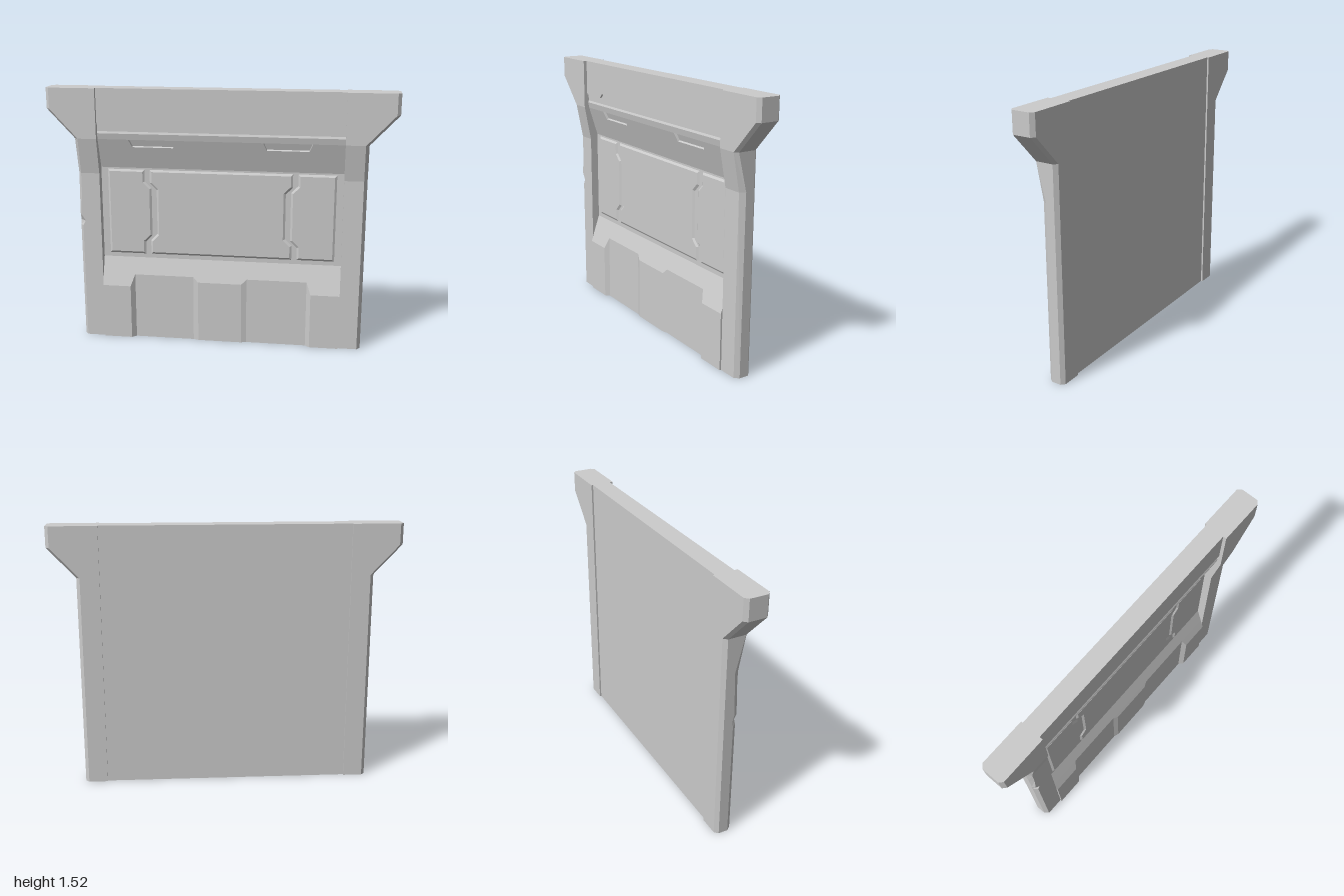
import * as THREE from 'three';
import { ConvexGeometry } from 'three/addons/geometries/ConvexGeometry.js';

const material = new THREE.MeshStandardMaterial({ color: 0xcccccc, flatShading: true });
const HALF = 0.71; // half width of the panel between the posts

const toShape = (pts) => new THREE.Shape(pts.map(([x, y]) => new THREE.Vector2(x, y)));
const mirrorX = (pts) => pts.map(([x, y]) => [-x, y]).reverse();

function add(group, name, geometry) {
  const mesh = new THREE.Mesh(geometry, material);
  mesh.name = name;
  group.add(mesh);
  return mesh;
}

// Post lofted through six-sided sections; rows are [y, outer x, front z, chamfer depth, chamfer width]
function postGeometry(rows, side) {
  const rings = rows.map(([y, xo, zf, cz, cx]) => [
    [HALF, -0.07], [xo - 0.02, -0.07], [xo, -0.05], [xo, zf - cz], [xo - cx, zf], [HALF, zf],
  ].map(([x, z]) => [x * side, y, z]));
  const pos = [];
  const tri = (a, b, c) => pos.push(...a, ...(side > 0 ? b : c), ...(side > 0 ? c : b));
  for (let i = 0; i < rings.length - 1; i++) {
    for (let j = 0; j < 6; j++) {
      const k = (j + 1) % 6;
      tri(rings[i][j], rings[i + 1][k], rings[i][k]);
      tri(rings[i][j], rings[i + 1][j], rings[i + 1][k]);
    }
  }
  const top = rings[rings.length - 1], bottom = rings[0];
  for (let j = 1; j < 5; j++) {
    tri(bottom[0], bottom[j], bottom[j + 1]);
    tri(top[0], top[j + 1], top[j]);
  }
  const g = new THREE.BufferGeometry();
  g.setAttribute('position', new THREE.Float32BufferAttribute(pos, 3));
  g.computeVertexNormals();
  return g;
}

// Raised block standing on the floor, from a base rectangle to a smaller front rectangle
function bossGeometry([bx0, bx1, by, bz], [fx0, fx1, fy, fz]) {
  const pts = [];
  for (const [x0, x1, y, z] of [[bx0, bx1, by, bz - 0.02], [bx0, bx1, by, bz], [fx0, fx1, fy, fz]]) {
    for (const x of [x0, x1]) pts.push(new THREE.Vector3(x, 0, z), new THREE.Vector3(x, y, z));
  }
  return new ConvexGeometry(pts);
}

// Thin plate with bevelled edges
function plateGeometry(pts, z) {
  return new THREE.ExtrudeGeometry(toShape(pts), {
    depth: 0.002, bevelEnabled: true, bevelSegments: 1,
    bevelSize: 0.012, bevelThickness: 0.008, bevelOffset: -0.012,
  }).translate(0, 0, z);
}

export function createModel() {
  const group = new THREE.Group();
  group.name = 'wallPanel';

  // Main panel, a [z, y] profile swept across the width
  const profile = [
    [-0.06, 0], [0.017, 0], [0.017, 0.4], [-0.017, 0.5], [-0.017, 1.1], [0.022, 1.225],
    [0.038, 1.225], [0.045, 1.26], [0.04, 1.272], [0.04, 1.52], [-0.06, 1.52],
  ];
  add(group, 'panelCore', new THREE.ExtrudeGeometry(toShape(profile), { depth: 2 * HALF, bevelEnabled: false })
    .translate(0, 0, -HALF).rotateY(-Math.PI / 2));

  // Sloped band with two slots cut into its upper edge
  const rise = 0.175, run = 0.055, len = Math.hypot(rise, run);
  const slot = [[0.53, len], [0.51, 0.136], [0.27, 0.136], [0.25, len]];
  const band = [[-HALF, 0], [HALF, 0], [HALF, len], ...slot, ...mirrorX(slot), [-HALF, len]];
  add(group, 'slopedBand', new THREE.ExtrudeGeometry(toShape(band), { depth: 0.015, bevelEnabled: false })
    .translate(0, 0, -0.015).rotateX(Math.atan2(run, rise)).translate(0, 1.05, -0.017));

  // Upper plate with a stepped lower edge
  const lower = [[0.545, 1.31], [0.52, 1.335]];
  add(group, 'upperPlate', new THREE.ExtrudeGeometry(
    toShape([[-HALF, 1.31], ...mirrorX(lower).reverse(), ...lower.slice().reverse(), [HALF, 1.31], [HALF, 1.52], [-HALF, 1.52]]),
    { depth: 0.012, bevelEnabled: false }).translate(0, 0, 0.038));

  // Raised plates in the recess
  const rightEdge = [[0.42, 0.525], [0.42, 0.61], [0.38, 0.65], [0.38, 0.92], [0.42, 0.96], [0.42, 1.04]];
  add(group, 'centrePlate', plateGeometry([...rightEdge, ...mirrorX(rightEdge)], -0.019));
  const sidePlate = [
    [0.67, 0.525], [0.67, 1.04], [0.45, 1.04], [0.45, 0.97], [0.41, 0.93],
    [0.41, 0.64], [0.45, 0.6], [0.45, 0.525],
  ];
  add(group, 'leftPlate', plateGeometry(sidePlate, -0.019));
  add(group, 'rightPlate', plateGeometry(mirrorX(sidePlate), -0.019));

  // Raised blocks along the base
  add(group, 'centreBlock', bossGeometry([-0.16, 0.16, 0.4, 0.017], [-0.13, 0.13, 0.37, 0.027]));
  add(group, 'leftBlock', bossGeometry([0.515, HALF, 0.4, 0.017], [0.54, HALF, 0.33, 0.04]));
  add(group, 'rightBlock', bossGeometry([-HALF, -0.515, 0.4, 0.017], [-HALF, -0.54, 0.33, 0.04]));

  // Flared side posts; the right one has a chipped edge
  const foot = [[0, 0.84, 0.03, 0.025, 0.02]];
  const chip = [
    [0.7, 0.84, 0.03, 0.025, 0.02], [0.73, 0.84, 0.03, 0.03, 0.035],
    [0.77, 0.84, 0.03, 0.02, 0.01], [0.9, 0.84, 0.03, 0.025, 0.02],
  ];
  const flare = [
    [1.02, 0.84, 0.03, 0.03, 0.02], [1.23, 0.84, 0.07, 0.018, 0.02],
    [1.4, 1, 0.07, 0.018, 0.02], [1.52, 1, 0.07, 0.018, 0.02],
  ];
  add(group, 'leftPost', postGeometry([...foot, ...flare], 1));
  add(group, 'rightPost', postGeometry([...foot, ...chip, ...flare], -1));

  return group;
}
